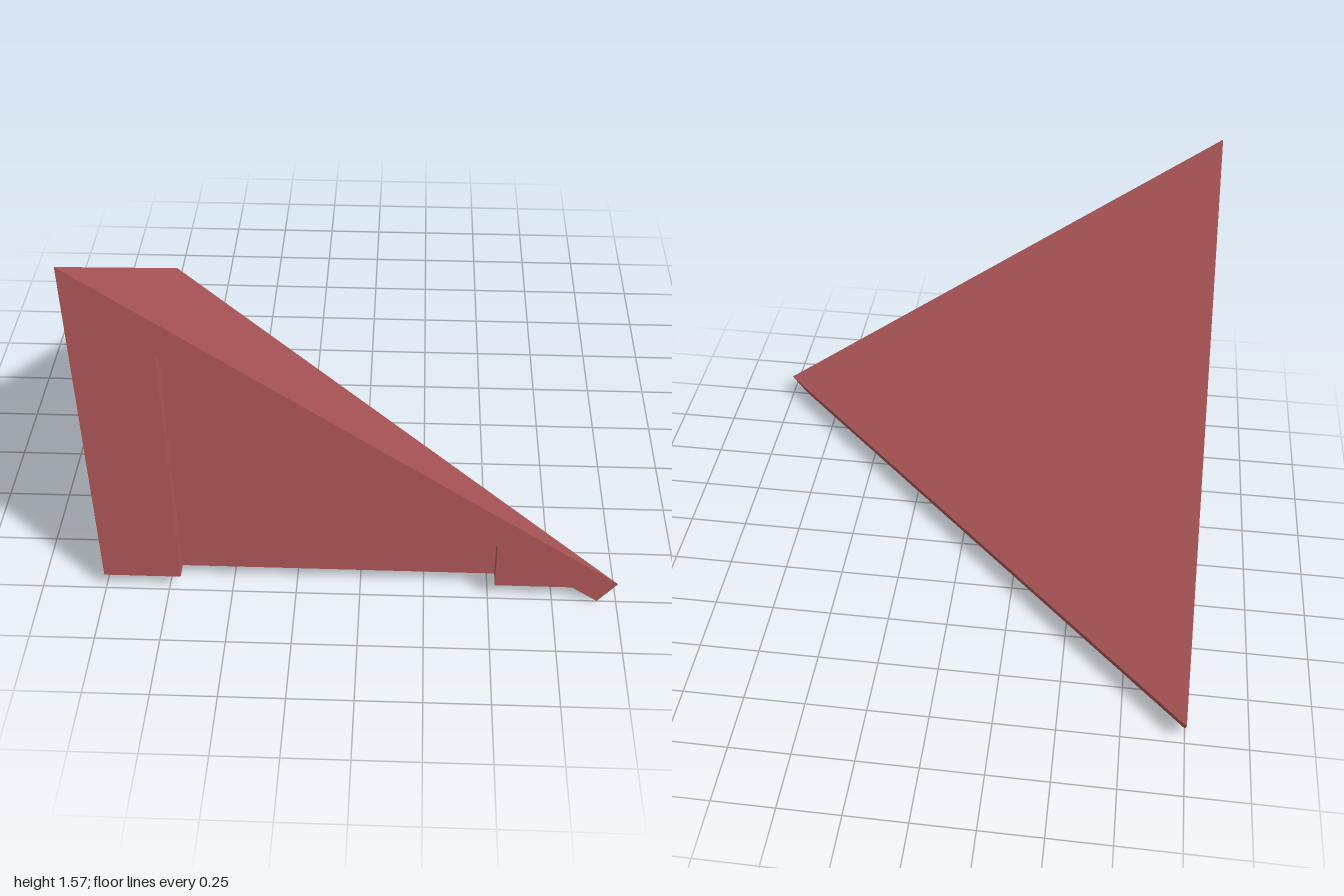
import * as THREE from 'three';

const V = (x, y, z) => new THREE.Vector3(x, y, z);
// reflection across the diagonal symmetry plane
const mirror = (p) => V(-p.z, p.y, -p.x);

// Flat polygon whose triangles all face the given outward direction
function addFace(out, pts, outward) {
  const ax = Math.abs(outward.x), ay = Math.abs(outward.y), az = Math.abs(outward.z);
  const flat = pts.map((p) =>
    ay >= ax && ay >= az ? new THREE.Vector2(p.x, p.z)
      : az >= ax ? new THREE.Vector2(p.x, p.y)
        : new THREE.Vector2(p.z, p.y));
  for (const [a, b, c] of THREE.ShapeUtils.triangulateShape(flat, [])) {
    const n = pts[b].clone().sub(pts[a]).cross(pts[c].clone().sub(pts[a]));
    const tri = n.dot(outward) >= 0 ? [a, b, c] : [a, c, b];
    tri.forEach((i) => out.push(...pts[i].toArray()));
  }
}

function makeMesh(name, faces, material) {
  const out = [];
  faces.forEach(([pts, outward]) => addFace(out, pts, outward));
  const geometry = new THREE.BufferGeometry();
  geometry.setAttribute('position', new THREE.Float32BufferAttribute(out, 3));
  geometry.computeVertexNormals();
  const mesh = new THREE.Mesh(geometry, material);
  mesh.name = name;
  return mesh;
}

export function createModel() {
  const group = new THREE.Group();
  group.name = 'cornerRoof';
  const material = new THREE.MeshStandardMaterial({ color: 0xb55a5c, flatShading: true });

  const top = 1.565, eave = 0.1, base = 0.075;
  const slope = (top - eave) / 2;
  const lipX = 0.926, innerX = lipX - base / slope;
  // recess: extent, depth, ceiling heights parallel to the roof
  const x0 = -0.7, x1 = 0.525, depth = 0.06, zi = 1 - depth;
  const h0 = 1.19, h1 = h0 - slope * (x1 - x0), drop = slope * depth;

  const apex = V(-1, top, 1), tip = V(1, eave, 1);
  const lip = V(lipX, 0, 1), inner = V(innerX, base, 1);

  // Sloping roof plane and the eave board below it
  group.add(makeMesh('roofSlope', [[[apex, tip, mirror(tip)], V(1, 1.2, -1)]], material));
  group.add(makeMesh('eaveFascia', [[[tip, lip, mirror(lip), mirror(tip)], V(1, -1, -1)]], material));
  group.add(makeMesh('eaveSoffit', [[[lip, inner, mirror(inner), mirror(lip)], V(-1, -1.2, 1)]], material));

  // Gable wall with a recessed panel, open at the foot
  const f0 = V(x0, base, 1), f1 = V(x1, base, 1), t0 = V(x0, h0, 1), t1 = V(x1, h1, 1);
  const g0 = V(x0, base, zi), g1 = V(x1, base, zi);
  const u0 = V(x0, h0 - drop, zi), u1 = V(x1, h1 - drop, zi);
  const corner = V(-1, base, 1);
  const parts = {
    GableWall: [[[corner, f0, t0, t1, f1, inner, lip, tip, apex], V(0, 0, 1)]],
    RecessPanel: [[[g0, g1, u1, u0], V(0, 0, 1)]],
    RecessReveal: [
      [[f0, g0, u0, t0], V(1, 0, 0)],
      [[f1, g1, u1, t1], V(-1, 0, 0)],
      [[t0, t1, u1, u0], V(-0.3, -0.4, 1)],
    ],
  };
  for (const [name, faces] of Object.entries(parts)) {
    group.add(makeMesh('front' + name, faces, material));
    const flipped = faces.map(([pts, n]) => [pts.map(mirror), mirror(n)]);
    group.add(makeMesh('side' + name, flipped, material));
  }

  // Flat underside following both recesses
  const half = [f0, g0, g1, f1, inner];
  const outline = [corner, ...half, ...half.map(mirror).reverse()];
  group.add(makeMesh('underside', [[outline, V(0, -1, 0)]], material));

  return group;
}
